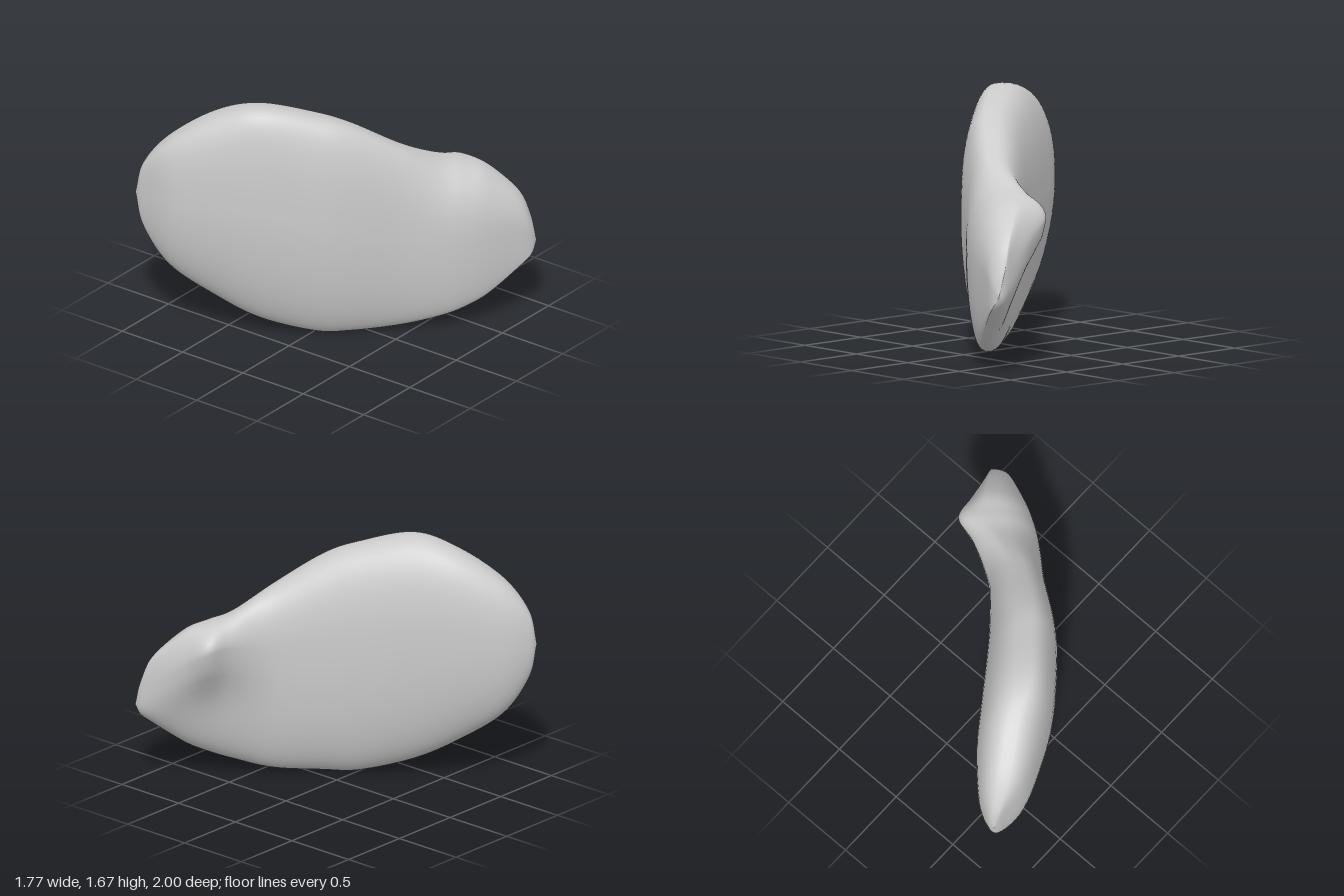
import * as THREE from 'three';

// Stations along the slab's length:
// [u, topY, topV, bottomY, bottomV, frontV, backV, backY, knob height]
const STATIONS = [
  [-1.33, 0.97, 0.01, 0.97, 0.01, 0.01, 0.01, 0.97, 0],
  [-1.28, 1.19, -0.02, 0.73, -0.01, -0.055, 0.06, 0.97, 0],
  [-1.11, 1.4, -0.06, 0.46, -0.05, -0.205, 0.115, 0.96, 0],
  [-0.81, 1.59, -0.11, 0.25, -0.1, -0.315, 0.13, 0.98, 0],
  [-0.52, 1.67, -0.19, 0.1, -0.15, -0.378, 0.105, 0.98, 0],
  [-0.16, 1.6, -0.2, 0.005, -0.18, -0.4, 0.07, 0.92, 0],
  [0.08, 1.515, -0.2, 0.003, -0.19, -0.383, 0.055, 0.9, 0],
  [0.41, 1.325, -0.14, 0.025, -0.17, -0.318, 0.05, 0.92, 0.012],
  [0.67, 1.18, 0, 0.085, -0.18, -0.285, 0.06, 0.99, 0.105],
  [0.83, 1.13, 0.04, 0.14, -0.17, -0.255, 0.07, 0.98, 0.192],
  [0.99, 1.07, 0.06, 0.22, -0.14, -0.2, 0.075, 0.87, 0.115],
  [1.2, 0.88, 0.05, 0.38, -0.08, -0.1, 0.065, 0.68, 0.02],
  [1.28, 0.7, 0.035, 0.45, -0.045, -0.05, 0.04, 0.58, 0],
  [1.315, 0.53, 0, 0.53, 0, 0, 0, 0.53, 0],
];

const rail = (pick) => new THREE.CatmullRomCurve3(
  STATIONS.map((s) => new THREE.Vector3(...pick(s))), false, 'catmullrom', 0.5);

function stoneGeometry(rings = 104, quarter = 16) {
  // Four edge rails in (u, y, v), plus one carrying the height of the rear knob
  const top = rail((s) => [s[0], s[1], s[2]]);
  const bottom = rail((s) => [s[0], s[3], s[4]]);
  const front = rail((s) => [s[0], s[3] + (s[1] - s[3]) * 0.54, s[5]]);
  const back = rail((s) => [s[0], s[7], s[6]]);
  const knob = rail((s) => [s[0], s[8], 0]);
  const sides = quarter * 4;
  const positions = [];
  const indices = [];

  for (let i = 0; i <= rings; i++) {
    const t = i / rings;
    const [T, B, F, K] = [top, bottom, front, back].map((c) => c.getPoint(t));
    const knobHeight = knob.getPoint(t).y;
    // Each quarter runs between a crest (top or bottom) and a flank (back or front):
    // [crest, flank, roundness, runs flank to crest, knob height]
    const quarters = [
      [T, K, 0.8, false, knobHeight],
      [B, K, 1.05 - 0.25 * t, true, knobHeight],
      [B, F, 1.08, false, 0],
      [T, F, 0.62 + 0.33 * t, true, 0],
    ];
    for (const [crest, flank, power, reversed, bulge] of quarters) {
      for (let j = 0; j < quarter; j++) {
        const f = j / quarter;
        const a = (reversed ? 1 - f : f) * Math.PI / 2;
        const s = Math.pow(Math.sin(a), power);
        const c = j === 0 && reversed ? 0 : Math.pow(Math.cos(a), power);
        const y = flank.y + (crest.y - flank.y) * c;
        // The knob swells from the back and fades downwards
        const swell = bulge * s * Math.exp(-(((y - flank.y) / 0.3) ** 2));
        const v = crest.z + (flank.z - crest.z) * s + swell;
        // Turn the slab onto its diagonal
        positions.push(T.x * 0.66 + v * 0.75, y, T.x * 0.75 - v * 0.66);
      }
    }
  }
  for (let i = 0; i < rings; i++) {
    for (let j = 0; j < sides; j++) {
      const a = i * sides + j;
      const b = i * sides + (j + 1) % sides;
      indices.push(a, a + sides, b, b, a + sides, b + sides);
    }
  }
  const geometry = new THREE.BufferGeometry();
  geometry.setAttribute('position', new THREE.Float32BufferAttribute(positions, 3));
  geometry.setIndex(indices);
  geometry.computeVertexNormals();
  // Rest on the ground, centred
  geometry.computeBoundingBox();
  const box = geometry.boundingBox;
  const centre = box.getCenter(new THREE.Vector3());
  geometry.translate(-centre.x, -box.min.y, -centre.z);
  return geometry;
}

export function createModel() {
  const group = new THREE.Group();
  group.name = 'smoothStone';
  const stone = new THREE.Mesh(stoneGeometry(), new THREE.MeshStandardMaterial({ color: 0xcccccc }));
  stone.name = 'stoneBody';
  group.add(stone);
  return group;
}
